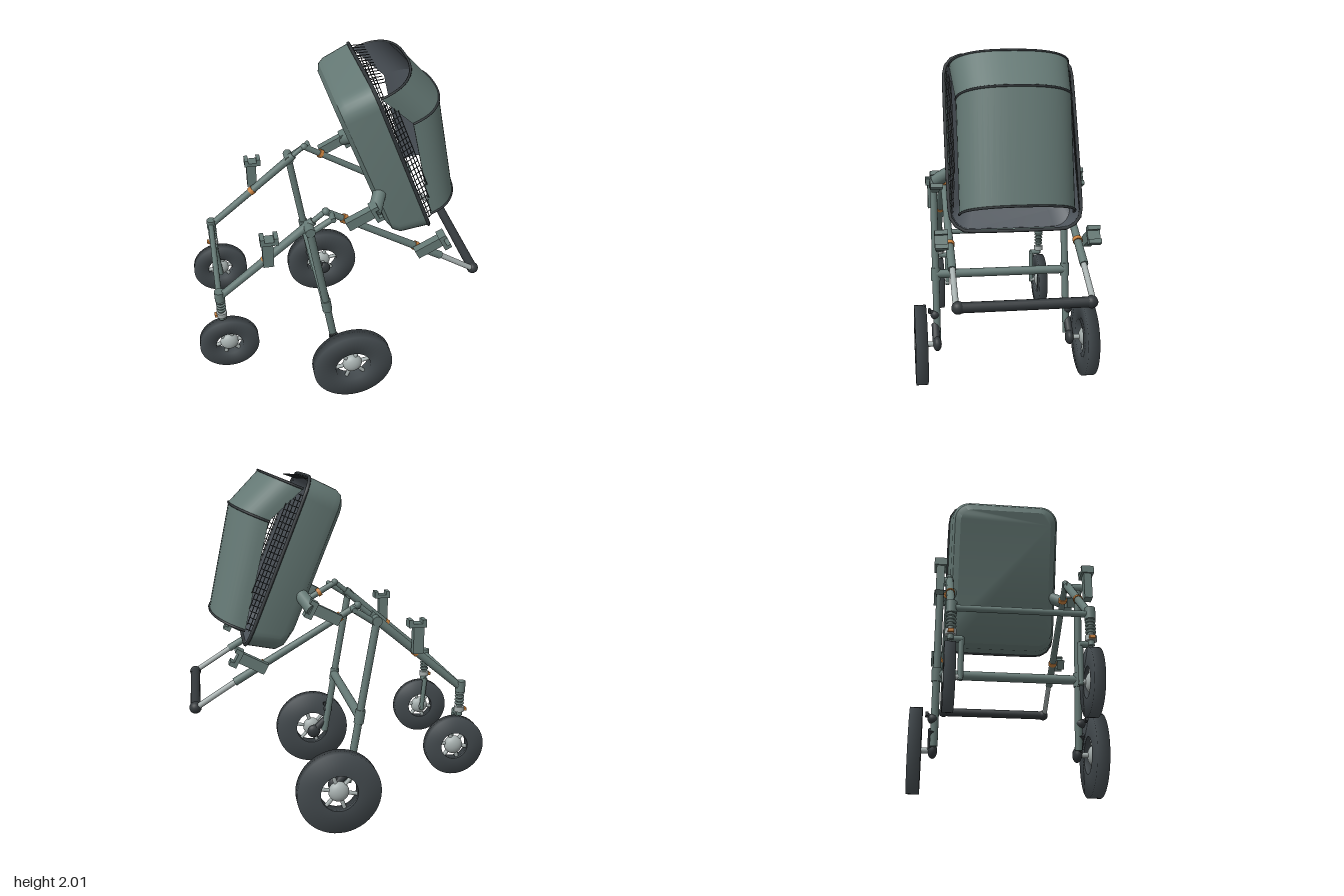
import * as THREE from 'three';
import { toCreasedNormals } from 'three/addons/utils/BufferGeometryUtils.js';

const V = (x, y, z) => new THREE.Vector3(x, y, z);
const mat = (name, color) => new THREE.MeshStandardMaterial({ name, color, side: THREE.DoubleSide });
const green = mat('grey green', 0x657975);
const tyreGrey = mat('tyre grey', 0x434a4e);
const dark = mat('dark trim', 0x33383b);
const lining = mat('lining grey', 0x50575e);
const silver = mat('silver', 0xa6afae);
const orange = mat('orange', 0xc77f3c);

function add(parent, name, geometry, material, pos) {
  const m = new THREE.Mesh(geometry, material);
  m.name = name;
  if (pos) m.position.copy(pos);
  parent.add(m);
  return m;
}

// straight round tube between two points
function rod(parent, name, a, b, r, material, r2 = r, sides = 16) {
  const m = add(parent, name, new THREE.CylinderGeometry(r2, r, a.distanceTo(b), sides), material, a.clone().lerp(b, 0.5));
  m.quaternion.setFromUnitVectors(V(0, 1, 0), b.clone().sub(a).normalize());
  return m;
}

// skin through rings of points; closed rings may end in a flat cap
function loft(rings, closed, cap) {
  const n = rings[0].length, pos = [], idx = [];
  rings.forEach(r => r.forEach(p => pos.push(p.x, p.y, p.z)));
  for (let j = 0; j < rings.length - 1; j++)
    for (let i = 0; i < (closed ? n : n - 1); i++) {
      const a = j * n + i, b = j * n + (i + 1) % n;
      idx.push(a, b, a + n, b, b + n, a + n);
    }
  if (cap) {
    const base = (rings.length - 1) * n;
    for (let i = 1; i < n - 1; i++) idx.push(base, base + i, base + i + 1);
  }
  const g = new THREE.BufferGeometry();
  g.setAttribute('position', new THREE.Float32BufferAttribute(pos, 3));
  g.setIndex(idx);
  return toCreasedNormals(g, 0.5);
}

// rounded rectangle at depth x, from top t0 to bottom t1, half width w
function roundRing(x, t0, t1, w, r) {
  const pts = [], signs = [[1, 1], [-1, 1], [-1, -1], [1, -1]];
  signs.forEach(([sz, sy], q) => {
    const cy = sy > 0 ? -t0 - r : -t1 + r;
    for (let i = 0; i <= 7; i++) {
      const a = (q + i / 7) * Math.PI / 2;
      pts.push(V(x, cy + r * Math.sin(a), sz * (w - r) + r * Math.cos(a)));
    }
  });
  return pts;
}

// half hoop of the hood
function hoop({ t, n0, n1, w }, inset = 0) {
  const pts = [];
  for (let i = 0; i <= 28; i++) {
    const a = Math.PI * i / 28, c = Math.cos(a), s = Math.max(0, Math.sin(a));
    pts.push(V(n0 + (n1 - n0 - inset) * s ** 0.8, -t, (w - inset) * Math.sign(c) * Math.abs(c) ** 0.8));
  }
  return pts;
}

const tube = (pts, r, closed) =>
  new THREE.TubeGeometry(new THREE.CatmullRomCurve3(pts, closed), pts.length * 2, r, 6, closed);

function wheel(name, radius, inner, half, hubR) {
  const g = new THREE.Group();
  g.name = name;
  const profile = [[inner, -half], [radius, -half], [radius, half], [inner, half], [inner, -half]];
  const tyre = new THREE.LatheGeometry(profile.map(p => new THREE.Vector2(...p)), 48).rotateX(Math.PI / 2);
  add(g, 'tyre', tyre, tyreGrey);
  add(g, 'hub', new THREE.SphereGeometry(hubR, 24, 16).scale(1, 1, 0.65), silver);
  for (let i = 0; i < 6; i++) {
    const a = i * Math.PI / 3 + 0.2;
    rod(g, 'spoke', V(0, 0, 0), V(Math.cos(a) * inner * 1.03, Math.sin(a) * inner * 1.03, 0), 0.012, silver, 0.012, 8);
  }
  return g;
}

// clip-on holder: stem with a notched head
function holder(x, y, z, angle) {
  const g = new THREE.Group();
  g.name = 'holder';
  add(g, 'holderStem', new THREE.BoxGeometry(0.06, 0.17, 0.045), green, V(0, 0.085, 0));
  add(g, 'holderHead', new THREE.BoxGeometry(0.1, 0.022, 0.07), green, V(0.01, 0.165, 0));
  for (const s of [-1, 1])
    add(g, 'holderLip', new THREE.BoxGeometry(0.024, 0.025, 0.07), green, V(0.01 + s * 0.038, 0.185, 0));
  g.position.set(x, y, z);
  g.rotation.z = angle;
  return g;
}

function buildSeat() {
  const seat = new THREE.Group();
  seat.name = 'seat';
  seat.position.set(0.16, 1.985, 0);
  seat.rotation.z = 0.384;

  // tub and its lining
  add(seat, 'seatShell', loft([
    roundRing(0, 0.005, 0.995, 0.36, 0.11), roundRing(-0.165, 0.014, 0.968, 0.345, 0.11),
    roundRing(-0.2, 0.03, 0.935, 0.33, 0.1), roundRing(-0.222, 0.065, 0.865, 0.295, 0.08)], true, true), green);
  add(seat, 'seatLining', loft([
    roundRing(0, 0.015, 0.985, 0.35, 0.1), roundRing(-0.16, 0.026, 0.955, 0.333, 0.1),
    roundRing(-0.2, 0.075, 0.855, 0.285, 0.07)], true, true), lining);
  add(seat, 'seatRim', tube(roundRing(0, 0.005, 0.995, 0.36, 0.11), 0.01, true), dark);

  // hood with hoops
  const hoops = [
    { t: 0.075, n0: 0.016, n1: 0.245, w: 0.33 },
    { t: 0.304, n0: 0.125, n1: 0.338, w: 0.31 },
    { t: 0.91, n0: 0.034, n1: 0.234, w: 0.31 }];
  for (let i = 0; i < 2; i++) {
    const pair = [hoops[i], hoops[i + 1]];
    add(seat, 'hoodPanel', loft(pair.map(h => hoop(h)), false), green);
    add(seat, 'hoodLining', loft(pair.map(h => hoop(h, 0.008)), false), lining);
  }
  hoops.forEach(h => add(seat, 'hoodHoop', tube(hoop(h), 0.007, false), dark));

  // wire mesh between tub and hood
  const edge = t => t < 0.304 ? 0.016 + (t - 0.075) * 0.476 : 0.125 - (t - 0.304) * 0.15;
  const wire = 0.0028;
  for (const s of [-1, 1]) {
    const at = (t, n) => V(n, -t, s * (0.352 - n * 0.33));
    for (let i = 0; i < 24; i++) {
      const t = 0.11 + i * 0.034;
      rod(seat, 'meshCrossWire', at(t, 0), at(t, Math.min(edge(t), 0.075)), wire, dark, wire, 5);
    }
    for (const n of [0.02, 0.04, 0.058, 0.075])
      rod(seat, 'meshLongWire', at(0.075 + n * 1.4, n), at(n < 0.04 ? 0.9 : 0.9 - (n - 0.034) * 5, n), wire, dark, wire, 5);
  }
  for (let i = 0; i < 15; i++) {
    const z = (i - 7) * 0.037;
    rod(seat, 'meshTopWire', V(0, -0.015, z), V(0.075, -0.04, z * 0.96), wire, dark, wire, 5);
  }
  return seat;
}

function buildSide(s) {
  const side = new THREE.Group();
  side.name = s > 0 ? 'leftFrame' : 'rightFrame';
  const P = (x, y, z) => V(x, y, s * z);

  // front tube, push arm and rear leg
  rod(side, 'frontTube', P(-0.7, 0.78, 0.357), P(-0.16, 1.232, 0.357), 0.021, green, 0.025);
  rod(side, 'frontTubeEnd', P(-0.16, 1.232, 0.357), P(-0.09, 1.29, 0.357), 0.015, green);
  rod(side, 'pushArm', P(-0.09, 1.285, 0.357), P(0.6, 0.877, 0.357), 0.018, green, 0.023);
  rod(side, 'pushArmExtension', P(0.59, 0.883, 0.355), P(0.82, 0.737, 0.355), 0.016, silver);
  add(side, 'apexJoint', new THREE.SphereGeometry(0.022, 16, 12), green, P(-0.09, 1.287, 0.357));
  add(side, 'handleEnd', new THREE.SphereGeometry(0.034, 20, 14), dark, P(0.82, 0.737, 0.345));
  rod(side, 'rearLeg', P(-0.188, 1.2, 0.41), P(-0.095, 0.65, 0.41), 0.022, green);
  rod(side, 'rearLegCollar', P(-0.103, 0.69, 0.41), P(-0.091, 0.61, 0.41), 0.029, green);
  rod(side, 'rearLegLower', P(-0.092, 0.62, 0.41), P(-0.03, 0.25, 0.41), 0.022, green);
  rod(side, 'legHinge', P(-0.188, 1.205, 0.34), P(-0.188, 1.205, 0.435), 0.028, green);
  rod(side, 'hingeLink', P(-0.2, 1.18, 0.41), P(-0.06, 1.27, 0.41), 0.017, green);
  rod(side, 'hingePin', P(-0.06, 1.27, 0.35), P(-0.06, 1.27, 0.43), 0.015, green);
  for (const [x, y, k] of [[-0.434, 1.003, 0.837], [0.014, 1.224, -0.59], [0.44, 0.972, -0.59]])
    rod(side, 'orangeCollar', P(x - 0.01, y - 0.01 * k, 0.357), P(x + 0.01, y + 0.01 * k, 0.357), 0.027, orange);

  // holders and seat pivot
  side.add(holder(-0.425, 1.01, s * 0.415, 0));
  side.add(holder(0.02, 1.215, s * 0.41, -1.1));
  side.add(holder(0.43, 0.96, s * 0.41, -1.08));
  rod(side, 'seatPivot', P(0.22, 1.345, 0.32), P(0.17, 1.28, 0.415), 0.038, green);

  // rear wheel with swing arm, shock absorber and brake
  const rear = wheel('rearWheel', 0.243, 0.108, 0.036, 0.06);
  rear.position.set(0.043, 0.245, s * 0.515);
  side.add(rear);
  rod(side, 'rearAxle', P(0.043, 0.245, 0.4), P(0.043, 0.245, 0.515), 0.016, silver);
  rod(side, 'swingArm', P(-0.05, 0.34, 0.42), P(0.043, 0.245, 0.42), 0.024, dark);
  add(side, 'swingArmEnd', new THREE.SphereGeometry(0.045, 18, 12).scale(1, 1, 0.6), dark, P(0.043, 0.245, 0.415));
  add(side, 'brakeKnob', new THREE.SphereGeometry(0.03, 16, 12), dark, P(-0.055, 0.4, 0.42));
  rod(side, 'brakePedal', P(-0.055, 0.4, 0.4), P(-0.055, 0.425, 0.46), 0.013, dark);
  add(side, 'brakeBar', new THREE.BoxGeometry(0.05, 0.02, 0.016), dark, P(-0.055, 0.425, 0.455));

  // front fork, spring and wheel
  rod(side, 'forkHead', P(-0.71, 0.745, 0.355), P(-0.71, 0.81, 0.355), 0.029, green);
  rod(side, 'forkStem', P(-0.71, 0.6, 0.355), P(-0.71, 0.76, 0.355), 0.017, green);
  for (let i = 0; i < 4; i++)
    add(side, 'springCoil', new THREE.TorusGeometry(0.021, 0.007, 8, 18).rotateX(Math.PI / 2), green, P(-0.708, 0.675 + i * 0.02, 0.355));
  rod(side, 'forkCollar', P(-0.708, 0.625, 0.355), P(-0.708, 0.655, 0.355), 0.03, silver);
  add(side, 'swivelLock', new THREE.BoxGeometry(0.03, 0.016, 0.03), orange, P(-0.735, 0.637, 0.355));
  rod(side, 'forkBridge', P(-0.7, 0.61, 0.36), P(-0.7, 0.61, 0.295), 0.017, green);
  rod(side, 'forkArm', P(-0.7, 0.62, 0.3), P(-0.68, 0.4, 0.3), 0.015, green);
  rod(side, 'frontAxle', P(-0.68, 0.415, 0.29), P(-0.68, 0.415, 0.357), 0.014, silver);
  const front = wheel('frontWheel', 0.176, 0.08, 0.028, 0.055);
  front.position.set(-0.68, 0.415, s * 0.357);
  side.add(front);
  return side;
}

export function createModel() {
  const model = new THREE.Group();
  model.name = 'stroller';
  for (const s of [1, -1]) model.add(buildSide(s));
  // cross members
  rod(model, 'handleBar', V(0.82, 0.737, -0.34), V(0.82, 0.737, 0.34), 0.028, dark);
  rod(model, 'rearCrossbar', V(-0.095, 0.652, -0.41), V(-0.095, 0.652, 0.41), 0.027, green);
  rod(model, 'frontCrossbar', V(-0.713, 0.775, -0.355), V(-0.713, 0.775, 0.355), 0.017, green);
  model.add(buildSeat());
  return model;
}
